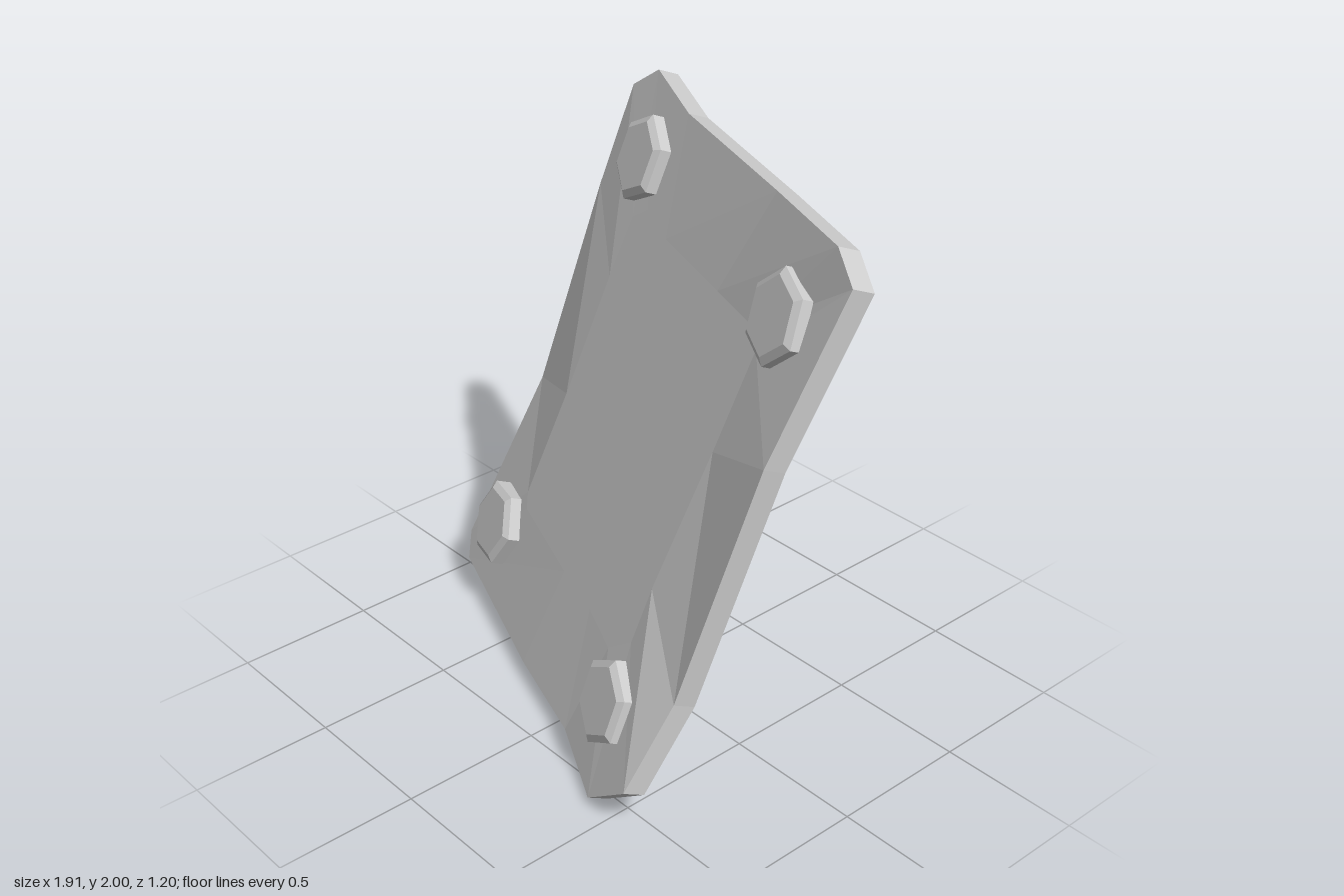
import * as THREE from 'three';

const V = (x, y, z) => new THREE.Vector3(x, y, z);

export function createModel() {
  const group = new THREE.Group();
  const material = new THREE.MeshStandardMaterial({ color: 0xcccccc, flatShading: true });

  // Leaning plane of the plate: centre, outward normal and in-plane axes
  const centre = V(-0.015, 1.03, 0.03);
  const normal = V(-0.308, 0.346, 0.886).normalize();
  const side = V(0.942, -0.02, 0.337);
  side.addScaledVector(normal, -side.dot(normal)).normalize();
  const up = normal.clone().cross(side);

  // Worn front outline, clockwise from the upper corner
  const outline = [
    [-0.64, 1.91, -0.53], [-0.5, 2.0, -0.52], [-0.22, 1.95, -0.4], [0.43, 1.945, -0.16],
    [0.83, 1.945, 0.0], [0.93, 1.86, 0.04], [0.815, 1.31, 0.25], [0.66, 0.48, 0.45],
    [0.6, 0.18, 0.605], [0.4, 0.03, 0.585], [0.11, 0.065, 0.44], [-0.28, 0.07, 0.31],
    [-0.91, 0.1, 0.07], [-0.955, 0.18, 0.02], [-0.81, 0.81, -0.23], [-0.71, 1.55, -0.435],
  ].map((p) => V(...p));

  // Inner ring flattened onto the plane, so the dents stay near the rim
  const inner = outline.map((p) => {
    const q = centre.clone().lerp(p, 0.6);
    return q.addScaledVector(normal, -q.clone().sub(centre).dot(normal));
  });
  const toBack = (p) => p.clone().addScaledVector(normal, -0.075);

  // Plate: front, back and rim
  const positions = [];
  const tri = (...pts) => pts.forEach((p) => positions.push(p.x, p.y, p.z));
  const face = (a, b, c) => {
    tri(a, b, c);
    tri(toBack(a), toBack(c), toBack(b));
  };
  outline.forEach((a, i) => {
    const j = (i + 1) % outline.length;
    const b = outline[j];
    face(centre, inner[j], inner[i]);
    face(inner[i], inner[j], b);
    face(inner[i], b, a);
    tri(a, b, toBack(b));
    tri(a, toBack(b), toBack(a));
  });
  const plateGeometry = new THREE.BufferGeometry();
  plateGeometry.setAttribute('position', new THREE.Float32BufferAttribute(positions, 3));
  plateGeometry.computeVertexNormals();
  const plate = new THREE.Mesh(plateGeometry, material);
  plate.name = 'plate';
  group.add(plate);

  // Bevelled hexagonal bolt heads: x, y and turn in degrees
  const profile = [[0.152, -0.02], [0.152, 0.04], [0.125, 0.055], [0, 0.055]]
    .map((p) => new THREE.Vector2(...p));
  const boltGeometry = new THREE.LatheGeometry(profile, 6).rotateX(Math.PI / 2);
  const basis = new THREE.Matrix4().makeBasis(side, up, normal);
  const bolts = {
    boltUpperRight: [-0.395, 1.745, 0], boltUpperLeft: [0.65, 1.66, 14],
    boltLowerRight: [-0.695, 0.35, 35], boltLowerLeft: [0.355, 0.315, 4],
  };
  for (const [name, [x, y, turn]] of Object.entries(bolts)) {
    const z = centre.z - (normal.x * (x - centre.x) + normal.y * (y - centre.y)) / normal.z;
    const bolt = new THREE.Mesh(boltGeometry, material);
    bolt.name = name;
    bolt.position.set(x, y, z);
    bolt.quaternion.setFromRotationMatrix(basis);
    bolt.rotateZ(THREE.MathUtils.degToRad(turn));
    group.add(bolt);
  }
  return group;
}
